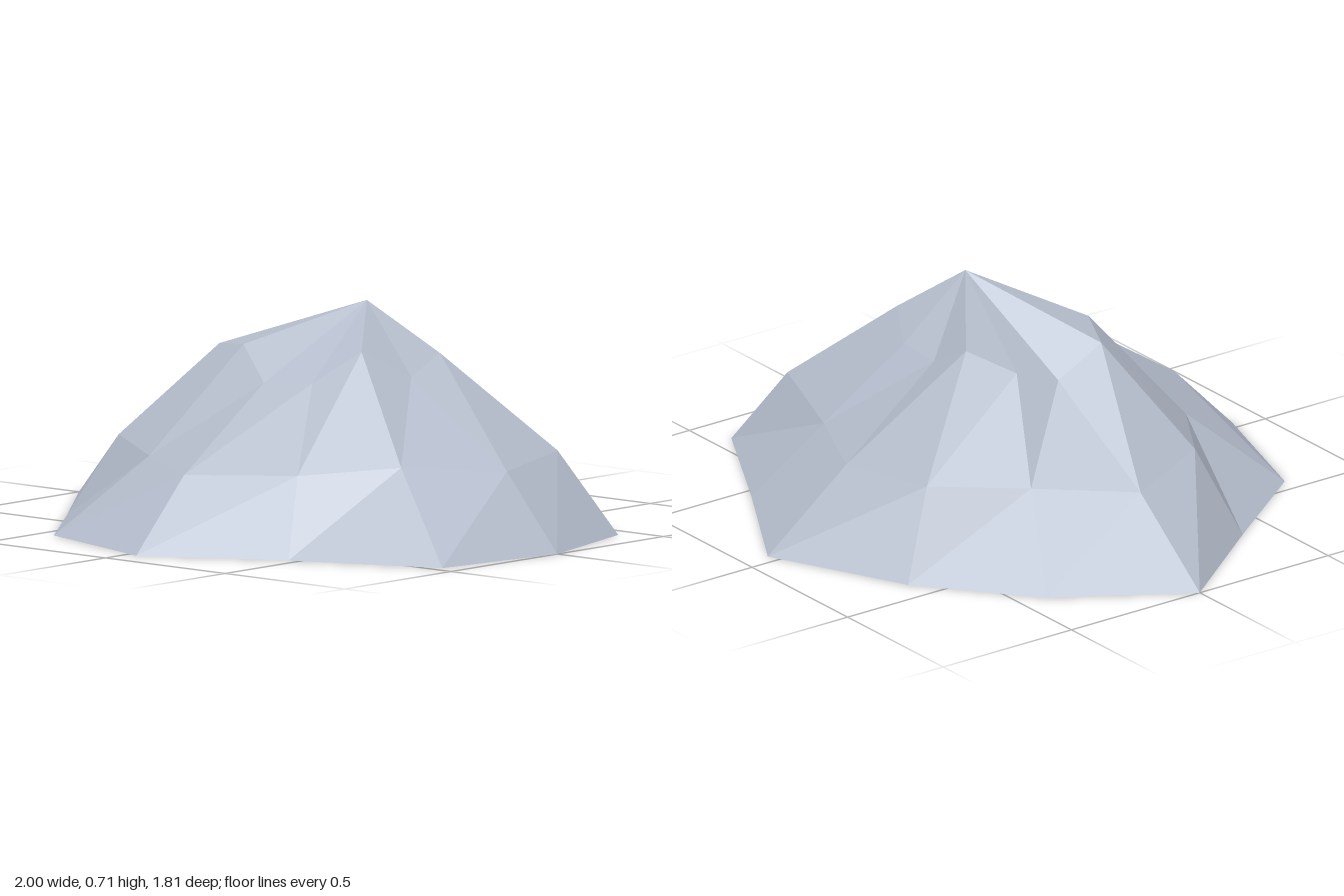
import * as THREE from 'three';

// Radius and height at each 30 degree step, starting at +x and turning towards +z
const SIDES = 12;
const CENTRE_X = 0.04;
const DEPTH_SCALE = 0.9;
const APEX = [0.16, 0.715, -0.05];
const RINGS = [
  { // ground outline
    radius: [0.96, 1.03, 0.85, 1.0, 0.96, 0.86, 1.04, 0.91, 0.89, 1.01, 0.845, 0.96],
    height: new Array(SIDES).fill(0),
  },
  { // lower slope
    radius: [0.75, 0.66, 0.65, 0.75, 0.625, 0.69, 0.73, 0.6, 0.71, 0.67, 0.6, 0.76],
    height: [0.24, 0.267, 0.24, 0.23, 0.24, 0.26, 0.235, 0.245, 0.268, 0.235, 0.24, 0.26],
  },
  { // upper slope
    radius: [0.35, 0.305, 0.33, 0.333, 0.295, 0.357, 0.3, 0.315, 0.335, 0.29, 0.33, 0.37],
    height: [0.5, 0.585, 0.49, 0.48, 0.58, 0.56, 0.47, 0.52, 0.59, 0.5, 0.5, 0.555],
  },
];

// Faceted mound: a three-storey cone whose rings are pushed in and out
function moundGeometry() {
  const cone = new THREE.ConeGeometry(3, 3, SIDES, 3);
  const pos = cone.attributes.position;
  for (let i = 0; i < pos.count; i++) {
    const x = pos.getX(i), z = pos.getZ(i);
    const row = Math.round(pos.getY(i) + 1.5);
    if (row === 3) {
      pos.setXYZ(i, ...APEX);
    } else if (Math.hypot(x, z) < 0.01) {
      pos.setXYZ(i, CENTRE_X, 0, 0); // middle of the underside
    } else {
      const step = (Math.round(Math.atan2(z, x) / (Math.PI / 6)) + SIDES) % SIDES;
      const a = step * Math.PI / 6;
      const r = RINGS[row].radius[step];
      pos.setXYZ(i, CENTRE_X + r * Math.cos(a), RINGS[row].height[step], DEPTH_SCALE * r * Math.sin(a));
    }
  }
  const flat = cone.toNonIndexed();
  flat.computeVertexNormals();
  return flat;
}

export function createModel() {
  const stone = new THREE.MeshStandardMaterial({ color: 0xb4bccb, flatShading: true });
  stone.name = 'paleBlueGrey';

  const mound = new THREE.Mesh(moundGeometry(), stone);
  mound.name = 'mound';

  const group = new THREE.Group();
  group.name = 'rockyMound';
  group.add(mound);
  return group;
}
